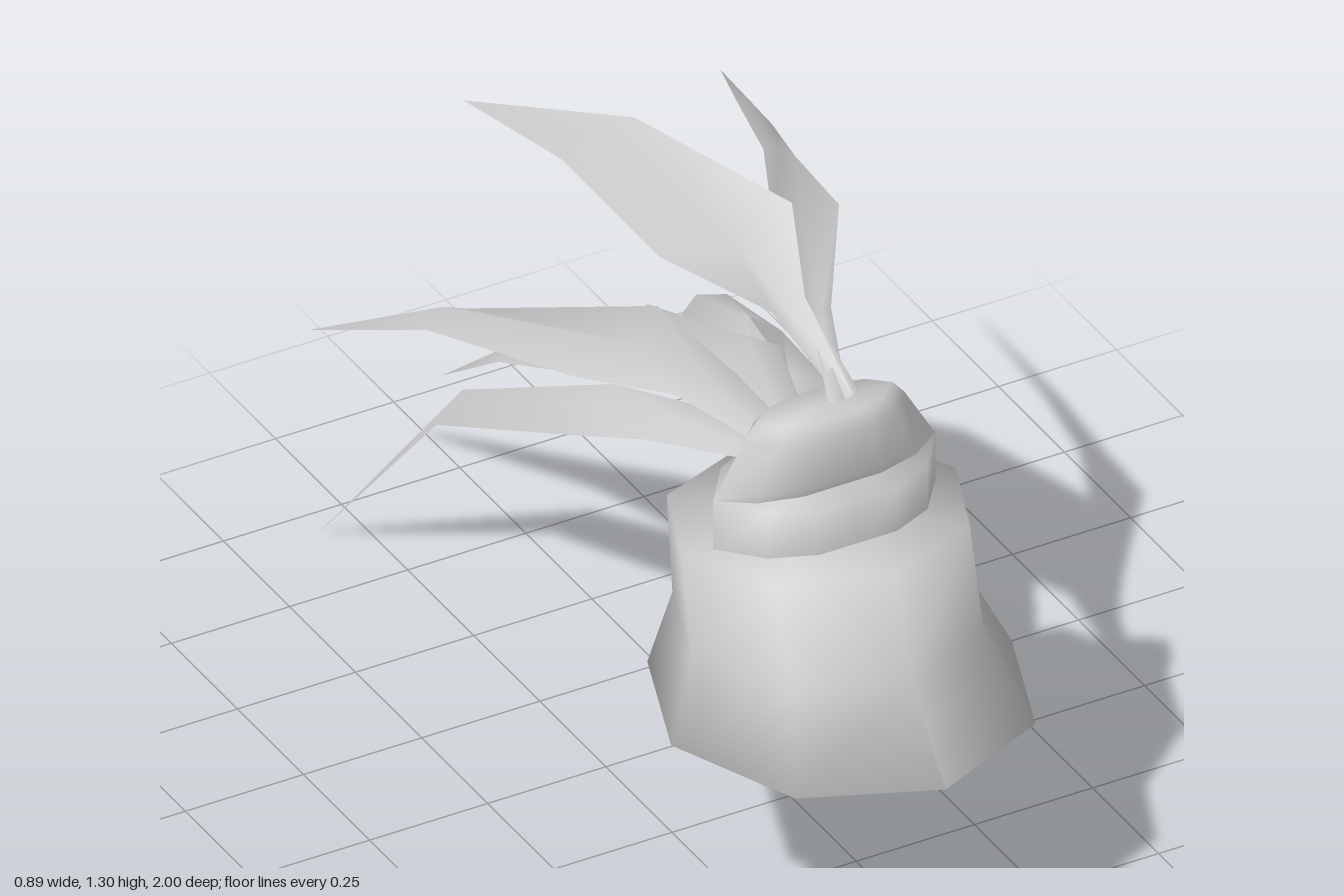
import * as THREE from 'three';
import { toCreasedNormals } from 'three/addons/utils/BufferGeometryUtils.js';

const CX = -0.09; // centre line of the bell and collar

function makeMesh(name, points, index, crease) {
  const geometry = new THREE.BufferGeometry();
  geometry.setAttribute('position', new THREE.Float32BufferAttribute(points.flat(), 3));
  geometry.setIndex(index);
  const material = new THREE.MeshStandardMaterial({ color: 0xcccccc, side: THREE.DoubleSide });
  const mesh = new THREE.Mesh(toCreasedNormals(geometry, crease), material);
  mesh.name = name;
  return mesh;
}

// Loft through rings ordered from bottom to top: open below, capped above
function loft(name, rings) {
  const n = rings[0].length;
  const points = rings.flat();
  const index = [];
  for (let r = 0; r < rings.length - 1; r++) {
    for (let j = 0; j < n; j++) {
      const k = (j + 1) % n;
      const a = r * n + j, b = r * n + k;
      index.push(a, b, b + n, a, b + n, a + n);
    }
  }
  const last = rings[rings.length - 1];
  const top = (rings.length - 1) * n;
  const high = points.push([0, 1, 2].map((c) => last.reduce((s, p) => s + p[c], 0) / n)) - 1;
  for (let j = 0; j < n; j++) index.push(high, top + j, top + ((j + 1) % n));
  return makeMesh(name, points, index, 1.75);
}

// Eight-sided ring whose height slopes from front to back
function bellRing([rx, zFront, zBack, yFront, yBack]) {
  return Array.from({ length: 8 }, (_, i) => {
    const a = (i * Math.PI) / 4;
    const t = (1 - Math.cos(a)) / 2;
    return [
      CX + rx * Math.sin(a),
      THREE.MathUtils.lerp(yFront, yBack, t),
      THREE.MathUtils.lerp(zFront, zBack, t),
    ];
  });
}

// Lens-shaped ring for the collar and crown
const LENS = [[0, 1], [0.35, 1], [0.72, 0.68], [1, 0], [0.72, -0.68], [0.35, -1],
  [0, -1], [-0.35, -1], [-0.72, -0.68], [-1, 0], [-0.72, 0.68], [-0.35, 1]];
const lensRing = ([rx, rz, y]) => LENS.map(([x, z]) => [CX + rx * x, y, 0.54 + rz * z]);

// Folded leaf: a narrow root, cross-sections of three points, and a sharp tip
function plume(name, root, sections, tip) {
  const [x, y, z] = root;
  const rows = [[[x - 0.02, y, z], [x, y + 0.012, z], [x + 0.02, y, z]], ...sections];
  const points = [...rows.flat(), tip];
  const index = [];
  for (let r = 0; r < rows.length; r++) {
    for (let j = 0; j < 2; j++) {
      const a = r * 3 + j, b = a + 1;
      if (r === rows.length - 1) index.push(a, b, points.length - 1);
      else index.push(a, b, b + 3, a, b + 3, a + 3);
    }
  }
  return makeMesh(name, points, index, 1.2);
}

export function createModel() {
  const model = new THREE.Group();
  model.name = 'plumedBell';

  // Hollow flared bell with a turned-in lower lip
  model.add(loft('bell', [
    [0.31, 0.95, 0.25, 0.45, 0.415],
    [0.36, 1.0, 0.21, 0.48, 0.45],
    [0.29, 0.87, 0.24, 0.64, 0.59],
    [0.29, 0.81, 0.225, 0.85, 0.79],
  ].map(bellRing)));

  // Collar and bevelled crown
  model.add(loft('collar', [[0.235, 0.13, 0.8], [0.235, 0.13, 0.93]].map(lensRing)));
  model.add(loft('crown', [
    [0.235, 0.07, 0.93], [0.225, 0.073, 0.945], [0.17, 0.07, 1.04], [0.145, 0.05, 1.07],
  ].map(lensRing)));

  // Two plumes rising from the crown, their stems crossing
  model.add(plume('upperLeftPlume', [-0.065, 1.065, 0.55], [
    [[-0.03, 1.15, 0.38], [0.0, 1.15, 0.37], [0.025, 1.14, 0.36]],
    [[-0.02, 1.27, 0.22], [0.06, 1.215, 0.18], [0.165, 1.195, 0.14]],
    [[0.1, 1.24, -0.03], [0.14, 1.22, -0.04], [0.18, 1.185, -0.05]],
    [[0.165, 1.195, -0.24], [0.2, 1.175, -0.25], [0.235, 1.13, -0.24]],
  ], [0.35, 0.98, -0.64]));
  model.add(plume('upperRightPlume', [-0.035, 1.065, 0.55], [
    [[-0.1, 1.17, 0.36], [-0.06, 1.15, 0.36], [-0.03, 1.18, 0.36]],
    [[-0.25, 1.25, 0.2], [-0.1, 1.24, 0.23], [0.015, 1.3, 0.23]],
    [[-0.26, 1.265, -0.15], [-0.18, 1.28, -0.16], [-0.1, 1.3, -0.16]],
  ], [-0.26, 1.18, -0.52]));

  // Five plumes sweeping back and down from the rear of the collar
  const rearRoot = [-0.05, 0.85, 0.43];
  const rear = [
    ['rearPlumeOuterRight', [
      [[-0.17, 0.87, 0.12], [-0.1, 0.88, 0.11], [-0.03, 0.86, 0.1]],
      [[-0.28, 0.84, -0.06], [-0.17, 0.9, -0.02], [-0.04, 0.85, -0.18]],
      [[-0.305, 0.65, -0.58], [-0.27, 0.69, -0.58], [-0.22, 0.67, -0.58]],
    ], [-0.32, 0.41, -1.0]],
    ['rearPlumeLowRight', [
      [[-0.21, 0.76, 0.08], [-0.15, 0.79, 0.07], [-0.1, 0.8, 0.08]],
      [[-0.27, 0.68, -0.11], [-0.22, 0.74, -0.1], [-0.17, 0.76, -0.11]],
      [[-0.29, 0.44, -0.57], [-0.26, 0.48, -0.57], [-0.235, 0.5, -0.57]],
    ], [-0.33, 0, -0.94]],
    ['rearPlumeInnerRight', [
      [[-0.15, 0.83, 0.03], [-0.1, 0.85, 0.02], [-0.03, 0.83, 0.03]],
      [[-0.175, 0.56, -0.54], [-0.145, 0.59, -0.54], [-0.11, 0.57, -0.54]],
    ], [-0.15, 0.37, -0.8]],
    ['rearPlumeInnerLeft', [
      [[-0.03, 0.84, 0.03], [0.04, 0.87, 0.02], [0.1, 0.84, 0.03]],
      [[0.08, 0.57, -0.52], [0.13, 0.6, -0.52], [0.17, 0.57, -0.52]],
    ], [0.195, 0.37, -0.8]],
    ['rearPlumeOuterLeft', [
      [[-0.01, 0.8, 0.14], [0.07, 0.84, 0.12], [0.15, 0.8, 0.13]],
      [[0.04, 0.75, -0.12], [0.12, 0.81, -0.12], [0.2, 0.74, -0.14]],
      [[0.2, 0.5, -0.56], [0.26, 0.55, -0.57], [0.325, 0.53, -0.57]],
    ], [0.445, 0.18, -0.94]],
  ];
  for (const [name, sections, tip] of rear) model.add(plume(name, rearRoot, sections, tip));

  return model;
}
